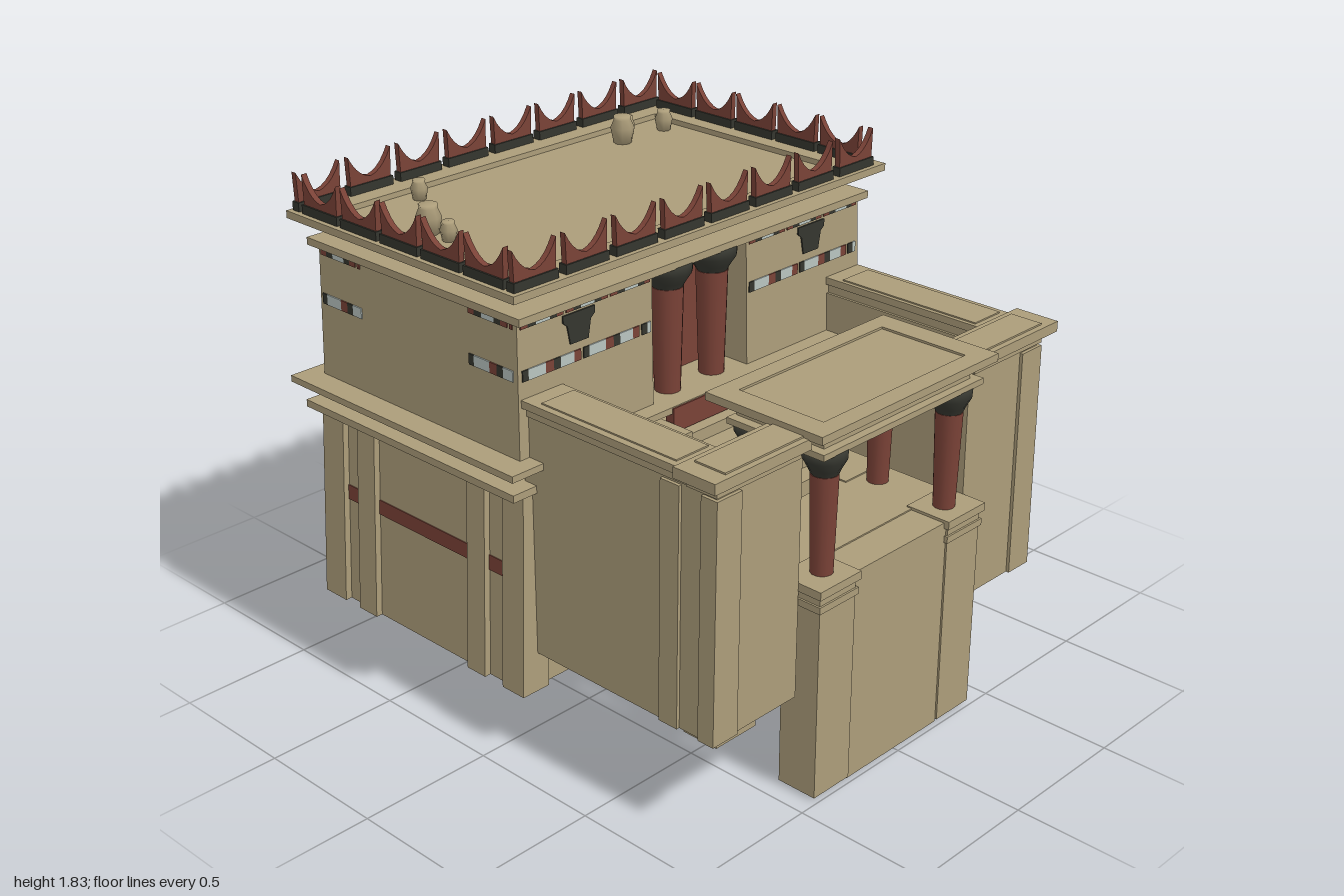
import * as THREE from 'three';

const mat = (name, hex) => {
  const m = new THREE.MeshStandardMaterial({ color: hex });
  m.name = name;
  return m;
};

export function createModel() {
  const sand = mat('sandstone', 0xac9d7a);
  sand.side = THREE.DoubleSide;
  const red = mat('dark red paint', 0x7a4237);
  const dark = mat('charcoal paint', 0x35362f);
  const pale = mat('pale paint', 0xb9c4c0);

  const model = new THREE.Group();
  model.name = 'templeHouse';
  const part = (name, x = 0) => {
    const g = new THREE.Group();
    g.name = name;
    g.position.x = x;
    model.add(g);
    return g;
  };
  const mesh = (parent, name, geo, m) => {
    const o = new THREE.Mesh(geo, m);
    o.name = name;
    parent.add(o);
    return o;
  };
  // Box given by its limits
  const box = (parent, name, m, x0, x1, y0, y1, z0, z1) => {
    const o = mesh(parent, name, new THREE.BoxGeometry(x1 - x0, y1 - y0, z1 - z0), m);
    o.position.set((x0 + x1) / 2, (y0 + y1) / 2, (z0 + z1) / 2);
    return o;
  };
  // Removes the underside of a box, leaving a hollow shell
  const open = o => {
    const idx = [...o.geometry.index.array];
    o.geometry.setIndex([...idx.slice(0, 18), ...idx.slice(24)]);
    o.geometry.clearGroups();
    return o;
  };
  // Box whose top shrinks (or grows) about a centre: kx, kz are top/bottom ratios
  const taper = (parent, name, m, x0, x1, y0, y1, z0, z1, kx, kz, cz = -0.43) => {
    const g = new THREE.BoxGeometry(x1 - x0, y1 - y0, z1 - z0);
    g.translate((x0 + x1) / 2, (y0 + y1) / 2, (z0 + z1) / 2);
    const p = g.attributes.position;
    for (let i = 0; i < p.count; i++) {
      if (p.getY(i) < (y0 + y1) / 2) continue;
      p.setX(i, p.getX(i) * kx);
      p.setZ(i, cz + (p.getZ(i) - cz) * kz);
    }
    g.computeVertexNormals();
    return mesh(parent, name, g, m);
  };
  // Slab with a sunken panel on top
  const tray = (parent, name, x, y0, y1, z0, z1, ix, iz0, iz1, sink) => {
    const rect = (P, a, b, c) => {
      const s = new P();
      s.moveTo(-a, -b); s.lineTo(a, -b); s.lineTo(a, -c); s.lineTo(-a, -c); s.closePath();
      return s;
    };
    const s = rect(THREE.Shape, x, z1, z0);
    s.holes.push(rect(THREE.Path, ix, iz1, iz0));
    const g = new THREE.ExtrudeGeometry(s, { depth: y1 - y0, bevelEnabled: false });
    g.rotateX(-Math.PI / 2).translate(0, y0, 0);
    mesh(parent, name, g, sand);
    box(parent, name + 'Panel', sand, -ix, ix, y0, y1 - sink, iz0, iz1);
  };
  // Tapered red column with a flared dark capital
  const column = (parent, name, x, z, y0, y1, r) => {
    const g = new THREE.Group();
    g.name = name;
    g.position.set(x, 0, z);
    parent.add(g);
    const h = 0.09;
    const shaft = mesh(g, 'shaft', new THREE.CylinderGeometry(r * 1.15, r * 0.92, y1 - h - y0, 14), red);
    shaft.position.y = (y0 + y1 - h) / 2;
    const prof = [[r * 1.1, 0], [r * 1.3, 0.02], [r * 1.75, 0.055], [r * 1.8, h], [0, h]];
    const cap = mesh(g, 'capital', new THREE.LatheGeometry(prof.map(p => new THREE.Vector2(...p)), 14), dark);
    cap.position.y = y1 - h;
  };

  // Lower storey with battered walls, hollow underneath
  const low = part('lowerStorey', -0.005);
  open(taper(low, 'lowerWalls', sand, -0.87, 0.87, 0.24, 1.0, -0.94, 0.08, 0.955, 0.98));
  for (const s of [-1, 1]) {
    const px = (a, b) => (s > 0 ? [a, b] : [-b, -a]);
    for (const [z0, z1] of [[0, 0.105], [-0.18, -0.09], [-0.77, -0.675], [-0.965, -0.85]])
      open(taper(low, 'sidePilaster', sand, ...px(0.86, 0.895), 0.24, 0.99, z0, z1, 0.955, 0.98));
    open(taper(low, 'backPilaster', sand, ...px(0.27, 0.37), 0.24, 0.99, -0.965, -0.93, 0.955, 0.98));
    open(taper(low, 'cornerPilaster', sand, ...px(0.78, 0.885), 0.24, 0.99, -0.965, -0.93, 0.955, 0.98));
    open(taper(low, 'frontPilaster', sand, ...px(0.78, 0.885), 0.24, 0.99, 0.07, 0.105, 0.955, 0.98));
  }
  // Red painted courses following the batter, one thin sheet per wall
  for (const [y0, y1] of [[0.64, 0.695], [0.955, 0.982]]) {
    const kx = y => 1 - 0.045 * (y - 0.24) / 0.76, kz = y => 1 - 0.02 * (y - 0.24) / 0.76;
    const w = 0.87 * kx(y0) + 0.004, zb = -0.43 - 0.51 * kz(y0);
    for (const [a, b] of [[-w, -w + 0.006], [w - 0.006, w]])
      taper(low, 'sideCourse', red, a, b, y0, y1, zb, 0.07, kx(y1) / kx(y0), 1);
    taper(low, 'backCourse', red, -w, w, y0, y1, zb - 0.004, zb + 0.002, kx(y1) / kx(y0), kz(y1) / kz(y0));
  }
  box(low, 'lowerCornice', sand, -0.915, 0.915, 0.985, 1.012, -0.965, 0.115);
  box(low, 'coveCore', red, -0.4, 0.4, 1.01, 1.045, -0.645, -0.215);
  taper(low, 'lowerCove', sand, -0.45, 0.45, 1.04, 1.08, -0.7, -0.16, 2, 1.85);
  box(low, 'terraceSlab', sand, -0.947, 0.947, 1.08, 1.104, -1, 0.15);
  box(low, 'threshold', red, -0.22, 0.22, 1.01, 1.1, 0.12, 0.156);

  // Upper storey: side blocks around a red recess open at front and back
  const up = part('upperStorey', -0.015);
  box(up, 'recessCore', red, -0.25, 0.25, 1.1, 1.59, -0.77, -0.07);
  for (const z of [-0.774, -0.066])
    for (const x of [-0.045, 0.16]) box(up, 'recessPaint', pale, x, x + 0.06, 1.42, 1.46, z - 0.003, z + 0.003);
  for (const s of [-1, 1]) {
    const px = (a, b) => (s > 0 ? [a, b] : [-b, -a]);
    taper(up, 'upperBlock', sand, ...px(0.235, 0.845), 1.1, 1.58, -0.93, 0.085, 0.985, 0.985);
  }
  // Painted checker bands
  const upper = [[red, 0.03], [dark, 0.035], [pale, 0.06], [dark, 0.03], [red, 0.03]];
  const lower = [[dark, 0.025], [pale, 0.075], [red, 0.035], [dark, 0.03], [pale, 0.06], [red, 0.03]];
  const band = (cycle, from, to, put) => {
    let a = from;
    for (let i = 0; a < to - 0.01; i++) {
      const [m, len] = cycle[i % cycle.length];
      const b = Math.min(a + len, to);
      put(m, a, b);
      a = b + ((i + 1) % cycle.length === 0 ? 0.012 : 0);
    }
  };
  for (const [y0, y1, cycle] of [[1.372, 1.41, lower], [1.55, 1.576, upper]]) {
    const k = 1 - 0.015 * (y0 - 1.1) / 0.48;
    for (const c of [1, -1]) {
      const z = -0.43 + (c > 0 ? 0.515 : -0.5) * k, x = c * 0.845 * k;
      for (const [a, b] of [[-0.82, -0.245], [0.245, 0.82]])
        band(cycle, a, b, (m, p, q) => box(up, 'bandTile', m, p, q, y0, y1, z - 0.004, z + 0.004));
      for (const [a, b] of [[-0.91, -0.7], [-0.15, 0.06]])
        band(cycle, a, b, (m, p, q) => box(up, 'bandTile', m, x - 0.004, x + 0.004, y0, y1, p, q));
    }
  }
  // Dark urn-shaped plaques
  const urn = new THREE.Shape([[-0.04, -0.055], [0.04, -0.055], [0.052, 0.01], [0.07, 0.025], [0.07, 0.05],
    [-0.07, 0.05], [-0.07, 0.025], [-0.052, 0.01]].map(p => new THREE.Vector2(...p)));
  const urnGeo = new THREE.ExtrudeGeometry(urn, { depth: 0.009, bevelEnabled: false });
  for (const x of [-0.57, 0.57])
    for (const z of [0.075, -0.934]) mesh(up, 'urnPlaque', urnGeo, dark).position.set(x, 1.493, z);
  for (const x of [-0.11, 0.11])
    for (const z of [0.03, -0.89]) column(up, 'recessColumn', x, z, 1.1, 1.578, 0.05);

  // Roof cornice and sunken terrace
  box(up, 'upperCornice', sand, -0.85, 0.85, 1.575, 1.602, -0.965, 0.11);
  box(up, 'coveCore', red, 0, 0.255, 1.6, 1.655, -0.65, -0.42);
  taper(up, 'roofCove', sand, -0.35, 0.35, 1.625, 1.66, -0.64, -0.22, 2.4, 2.45);
  box(up, 'roofCoveLip', sand, -0.84, 0.84, 1.66, 1.677, -0.945, 0.085);
  tray(up, 'roofSlab', 0.9, 1.675, 1.702, -1, 0.145, 0.76, -0.88, 0.01, 0.02);

  // Horned parapet pieces
  const horn = new THREE.Shape();
  horn.moveTo(-0.088, 0);
  horn.lineTo(0.088, 0);
  horn.lineTo(0.092, 0.105);
  horn.quadraticCurveTo(0.055, 0.03, 0, 0.02);
  horn.quadraticCurveTo(-0.055, 0.03, -0.092, 0.105);
  const hornGeo = new THREE.ExtrudeGeometry(horn, { depth: 0.022, bevelEnabled: false, curveSegments: 5 });
  hornGeo.translate(0, 0, -0.011);
  const merlon = (x, z, turn) => {
    const g = new THREE.Group();
    g.name = 'parapetPiece';
    g.position.set(x, 1.7, z);
    g.rotation.y = turn;
    up.add(g);
    box(g, 'parapetBase', dark, -0.094, 0.094, 0, 0.034, -0.017, 0.017);
    mesh(g, 'parapetHorns', hornGeo, red).position.y = 0.034;
  };
  for (let i = 0; i < 8; i++)
    for (const z of [0.11, -0.97]) merlon(-0.787 + i * 0.221, z, 0);
  for (let i = 0; i < 5; i++)
    for (const x of [-0.865, 0.84]) merlon(x, -0.84 + i * 0.206, Math.PI / 2);

  // Clay jars on the roof
  for (const [x, z, r] of [[-0.675, -0.52, 0.045], [-0.675, -0.42, 0.03], [-0.475, -0.81, 0.031],
    [0.465, -0.76, 0.045], [0.535, -0.81, 0.033], [0.685, -0.76, 0.034]]) {
    const prof = [[0, 0], [r * 0.75, 0], [r, r * 1.3], [r * 0.7, r * 2], [r * 0.75, r * 2.3], [0, r * 2.3]];
    const jar = mesh(up, 'jar', new THREE.LatheGeometry(prof.map(p => new THREE.Vector2(...p)), 8), sand);
    jar.position.set(x, 1.682, z);
  }

  // Courtyard walls, pedestals and stair cheeks, mirrored
  const court = part('forecourt', -0.008);
  for (const s of [-1, 1]) {
    const px = (a, b) => (s > 0 ? [a, b] : [-b, -a]);
    open(taper(court, 'courtSideWall', sand, ...px(0.67, 0.82), 0.385, 1.25, 0.06, 0.9, 0.985, 1));
    open(taper(court, 'courtFrontWall', sand, ...px(0.43, 0.82), 0.385, 1.25, 0.79, 0.905, 0.985, 1));
    open(taper(court, 'courtPilaster', sand, ...px(0.74, 0.832), 0.385, 1.24, 0.68, 0.76, 0.985, 1));
    open(taper(court, 'courtCorner', sand, ...px(0.72, 0.832), 0.385, 1.24, 0.85, 0.917, 0.985, 1));
    box(court, 'sideCoping', sand, ...px(0.67, 0.815), 1.25, 1.287, 0.05, 0.79);
    box(court, 'frontCoping', sand, ...px(0.44, 0.82), 1.25, 1.287, 0.79, 0.915);
    box(court, 'sideCap', sand, ...px(0.655, 0.835), 1.285, 1.312, -0.02, 0.78);
    box(court, 'frontCap', sand, ...px(0.43, 0.862), 1.287, 1.325, 0.775, 0.947);
    box(court, 'frontCapPanel', sand, ...px(0.44, 0.795), 1.325, 1.331, 0.8, 0.925);
    box(court, 'sideCapPanel', sand, ...px(0.67, 0.81), 1.312, 1.317, 0.15, 0.74);
    open(box(court, 'pedestal', sand, ...px(0.24, 0.415), 0.02, 0.72, 0.83, 0.985));
    box(court, 'pedestalMoulding', sand, ...px(0.232, 0.422), 0.72, 0.745, 0.823, 0.992);
    box(court, 'pedestalNeck', sand, ...px(0.24, 0.415), 0.745, 0.775, 0.83, 0.985);
    box(court, 'pedestalCap', sand, ...px(0.228, 0.428), 0.775, 0.805, 0.82, 0.998);
    for (const [z0, z1, y0, y1] of [[0.08, 0.25, 0.24, 1.05], [0.25, 0.4, 0.14, 0.95], [0.4, 0.555, 0.02, 0.805]])
      open(box(court, 'stairCheek', sand, ...px(0.225, 0.425), y0, y1, z0, z1));
    for (const z of [0.907, 0.62]) column(court, 'porchColumn', s * 0.318, z, 0.8, 1.247, 0.042);
  }
  open(box(court, 'entranceWall', sand, -0.24, 0.24, 0.01, 0.795, 0.83, 0.978));
  box(court, 'porchFloor', sand, -0.42, 0.42, 0.7, 0.8, 0.515, 0.84);

  // Stairs rising to the terrace
  for (let i = 0; i < 5; i++) {
    const z1 = 0.485 - i * 0.072, top = 0.83 + i * 0.044;
    box(court, 'stairStep', sand, -0.23, 0.23, top - 0.4, top, i === 4 ? 0.07 : z1 - 0.072, z1);
  }

  // Porch canopy
  box(court, 'porchBeam', sand, -0.405, 0.405, 1.245, 1.267, 0.57, 0.975);
  box(court, 'canopyCore', sand, -0.37, 0.37, 1.267, 1.325, 0.58, 0.945);
  tray(court, 'canopySlab', 0.445, 1.322, 1.35, 0.515, 1.0, 0.358, 0.58, 0.93, 0.008);

  return model;
}
